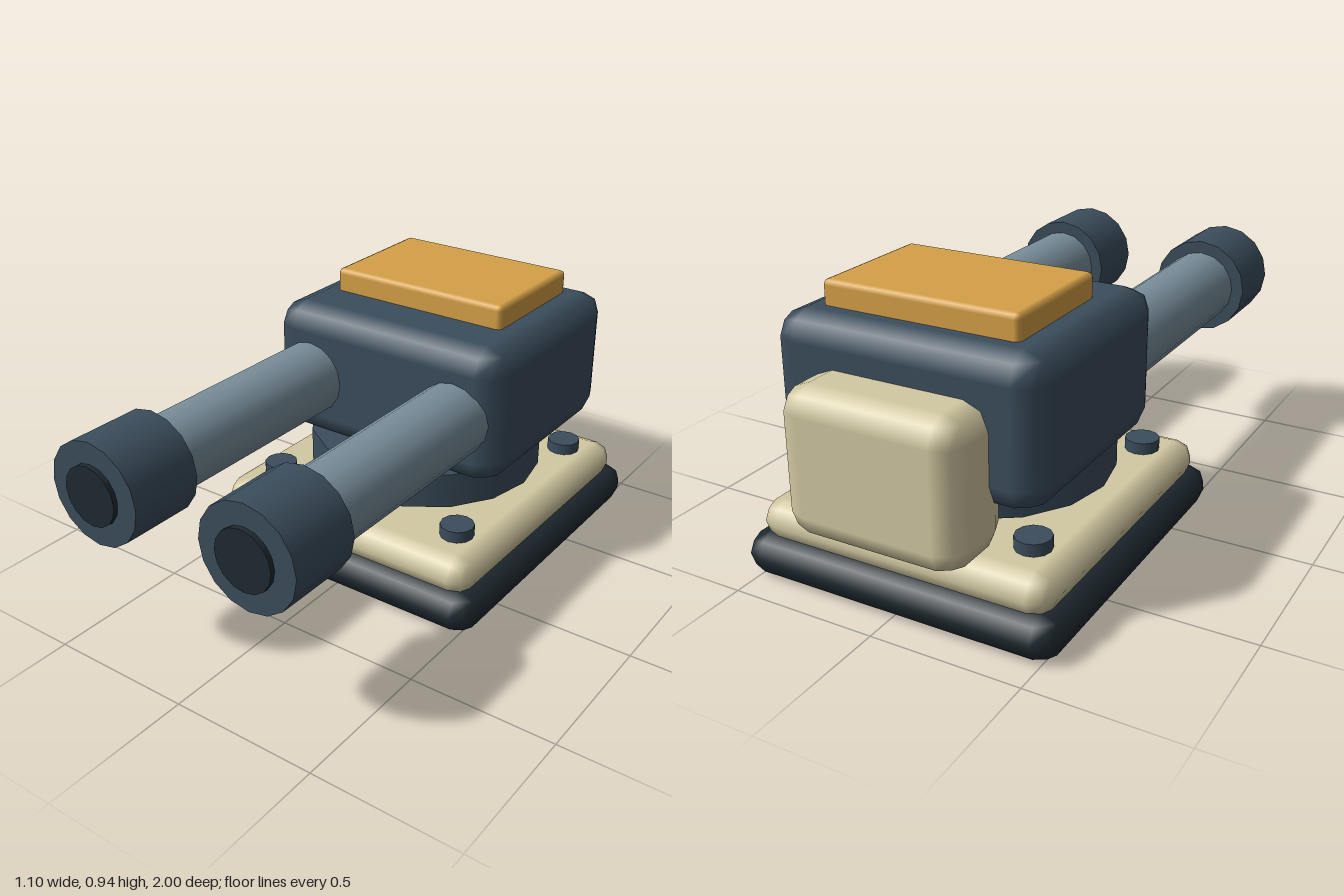
import * as THREE from 'three';
import { RoundedBoxGeometry } from 'three/addons/geometries/RoundedBoxGeometry.js';

const material = (color) => new THREE.MeshStandardMaterial({ color });

export function createModel() {
  const model = new THREE.Group();
  model.name = 'twinBarrelTurret';

  const slate = material(0x3b4d5c);
  const black = material(0x1f2a31);
  const cream = material(0xd2c9a2);
  const amber = material(0xd5a047);
  const steel = material(0x788d9a);

  const add = (name, geometry, mat, x, y, z, parent = model) => {
    const mesh = new THREE.Mesh(geometry, mat);
    mesh.name = name;
    mesh.position.set(x, y, z);
    parent.add(mesh);
    return mesh;
  };

  // Box with one chamfer point per edge, given by its extents
  const block = (name, mat, width, [y0, y1], [z0, z1], radius) =>
    add(name, new RoundedBoxGeometry(width, y1 - y0, z1 - z0, 1, radius), mat,
      0, (y0 + y1) / 2, (z0 + z1) / 2);

  // Cylinder lying along z
  const rod = (name, mat, radius, z0, z1, parent) =>
    add(name, new THREE.CylinderGeometry(radius, radius, z1 - z0, 16).rotateX(Math.PI / 2),
      mat, 0, 0, (z0 + z1) / 2, parent);

  // Stepped base
  block('basePad', black, 1.1, [0, 0.145], [-0.92, 0.26], 0.072);
  block('basePlate', cream, 1.02, [0.11, 0.25], [-0.88, 0.22], 0.069);

  // Corner bolts
  for (const x of [-0.375, 0.375]) {
    for (const z of [0.047, -0.705]) {
      add('bolt', new THREE.CylinderGeometry(0.058, 0.058, 0.06, 12), slate, x, 0.26, z);
    }
  }

  // Turntable, head, rear pack and roof panel
  add('turntable', new THREE.CylinderGeometry(0.415, 0.415, 0.125, 16), slate, 0, 0.347, -0.33);
  block('head', slate, 0.9, [0.39, 0.865], [-0.82, -0.03], 0.085);
  block('rearPack', cream, 0.6, [0.245, 0.72], [-0.998, -0.71], 0.08);
  block('roofPanel', amber, 0.665, [0.835, 0.945], [-0.705, -0.25], 0.018);

  // Twin barrels with muzzle and bore
  for (const side of [-1, 1]) {
    const barrel = new THREE.Group();
    barrel.name = side > 0 ? 'leftBarrel' : 'rightBarrel';
    barrel.position.set(side * 0.29, 0.617, 0);
    model.add(barrel);
    rod('tube', steel, 0.128, -0.12, 0.75, barrel);
    rod('muzzle', slate, 0.171, 0.73, 0.982, barrel);
    rod('bore', black, 0.099, 0.95, 0.998, barrel);
  }

  return model;
}
